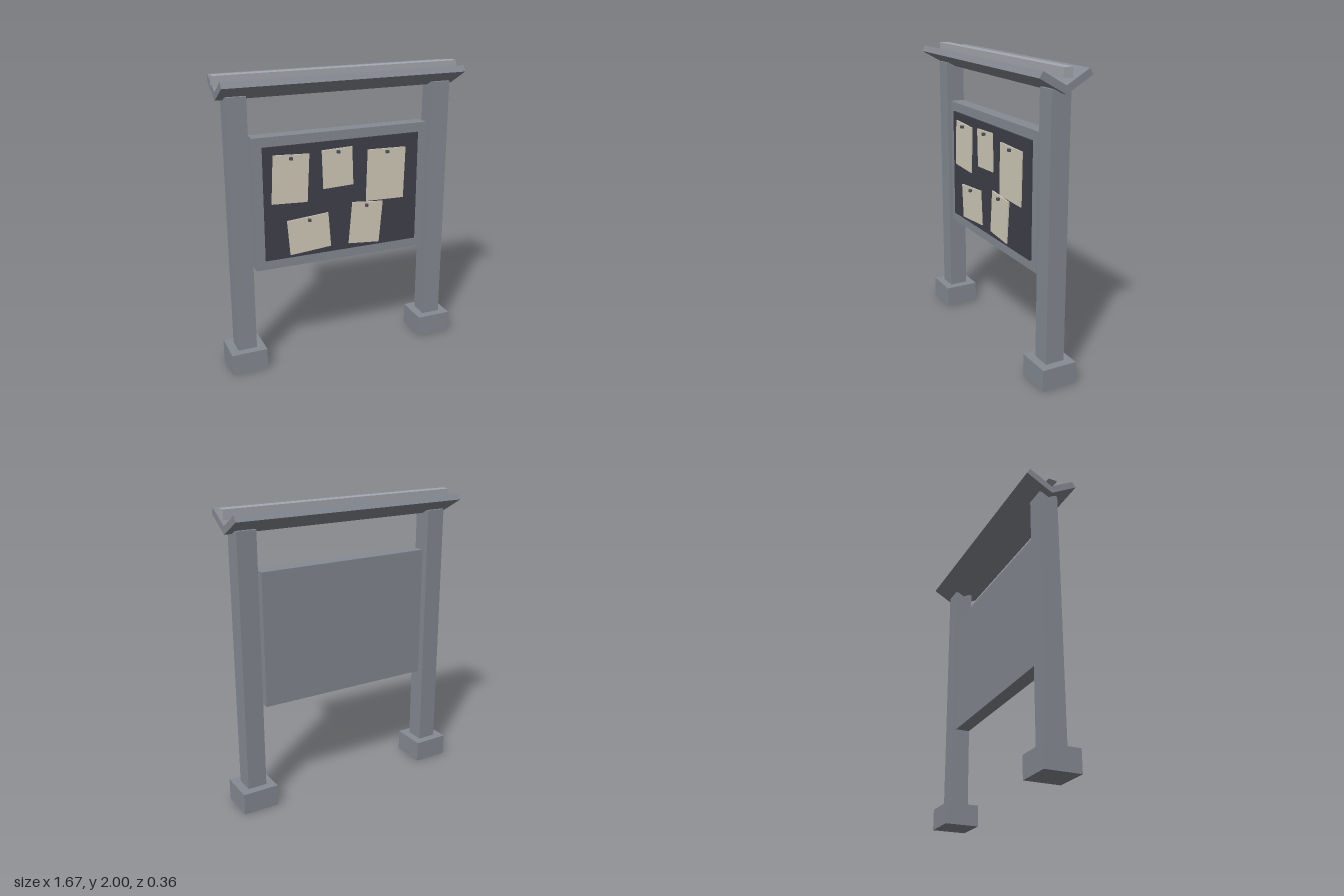
import * as THREE from 'three';

const mat = (name, color) => {
  const m = new THREE.MeshStandardMaterial({ color });
  m.name = name;
  return m;
};

export function createModel() {
  const model = new THREE.Group();
  model.name = 'noticeBoard';

  const slate = mat('slateGrey', 0x868a93);
  const pale = mat('paleGrey', 0xa6a9b0);
  const dark = mat('darkBoard', 0x40404b);
  const paperMat = mat('paper', 0xd2ccba);
  const pinMat = mat('pinGrey', 0x50545c);

  const box = (name, [w, h, d], [x, y, z], material, parent = model) => {
    const mesh = new THREE.Mesh(new THREE.BoxGeometry(w, h, d), material);
    mesh.name = name;
    mesh.position.set(x, y, z);
    parent.add(mesh);
    return mesh;
  };

  // Posts on square footings
  for (const [side, s] of [['left', 1], ['right', -1]]) {
    box(side + 'Footing', [0.245, 0.147, 0.24], [s * 0.706, 0.0735, 0], slate);
    box(side + 'Post', [0.13, 1.73, 0.13], [s * 0.706, 1.005, 0], slate);
  }

  // Panel with the raised pinning surface on its front
  box('panel', [1.225, 0.9, 0.1], [-0.002, 1.15, 0], slate);
  box('pinBoard', [1.1, 0.77, 0.02], [-0.002, 1.152, 0.052], dark);

  // Notes: centre x, y, width, height, tilt in degrees, pin x, y
  const notes = [
    [-0.372, 1.315, 0.245, 0.325, -3, -0.37, 1.455],
    [-0.043, 1.355, 0.213, 0.262, 2, -0.043, 1.465],
    [0.308, 1.272, 0.278, 0.358, -1.5, 0.31, 1.43],
    [-0.248, 0.92, 0.29, 0.243, 4.5, -0.25, 1.02],
    [0.163, 0.944, 0.225, 0.295, -5, 0.163, 1.07],
  ];
  notes.forEach(([x, y, w, h, tilt, px, py], i) => {
    const note = new THREE.Group();
    note.name = 'note' + (i + 1);
    model.add(note);
    const sheet = box('sheet', [w, h, 0.009], [x, y, 0.0665 + i * 0.0003], paperMat, note);
    sheet.rotation.z = THREE.MathUtils.degToRad(tilt);
    box('pin', [0.02, 0.018, 0.022], [px, py, 0.08], pinMat, note);
  });

  // V-shaped roof, extruded along x from its end profile
  const profile = new THREE.Shape([
    [0, 1.845], [0.178, 1.945], [0.155, 1.984], [0, 1.896], [-0.155, 1.984], [-0.178, 1.945],
  ].map(([z, y]) => new THREE.Vector2(z, y)));
  const roofGeo = new THREE.ExtrudeGeometry(profile, { depth: 1.64, bevelEnabled: false });
  roofGeo.translate(0, 0, -0.82).rotateY(Math.PI / 2);
  const roof = new THREE.Mesh(roofGeo, slate);
  roof.name = 'roof';
  model.add(roof);

  // Ridge beam held above the valley
  box('ridgeBeam', [1.67, 0.063, 0.063], [0, 1.9685, 0], pale);

  return model;
}
